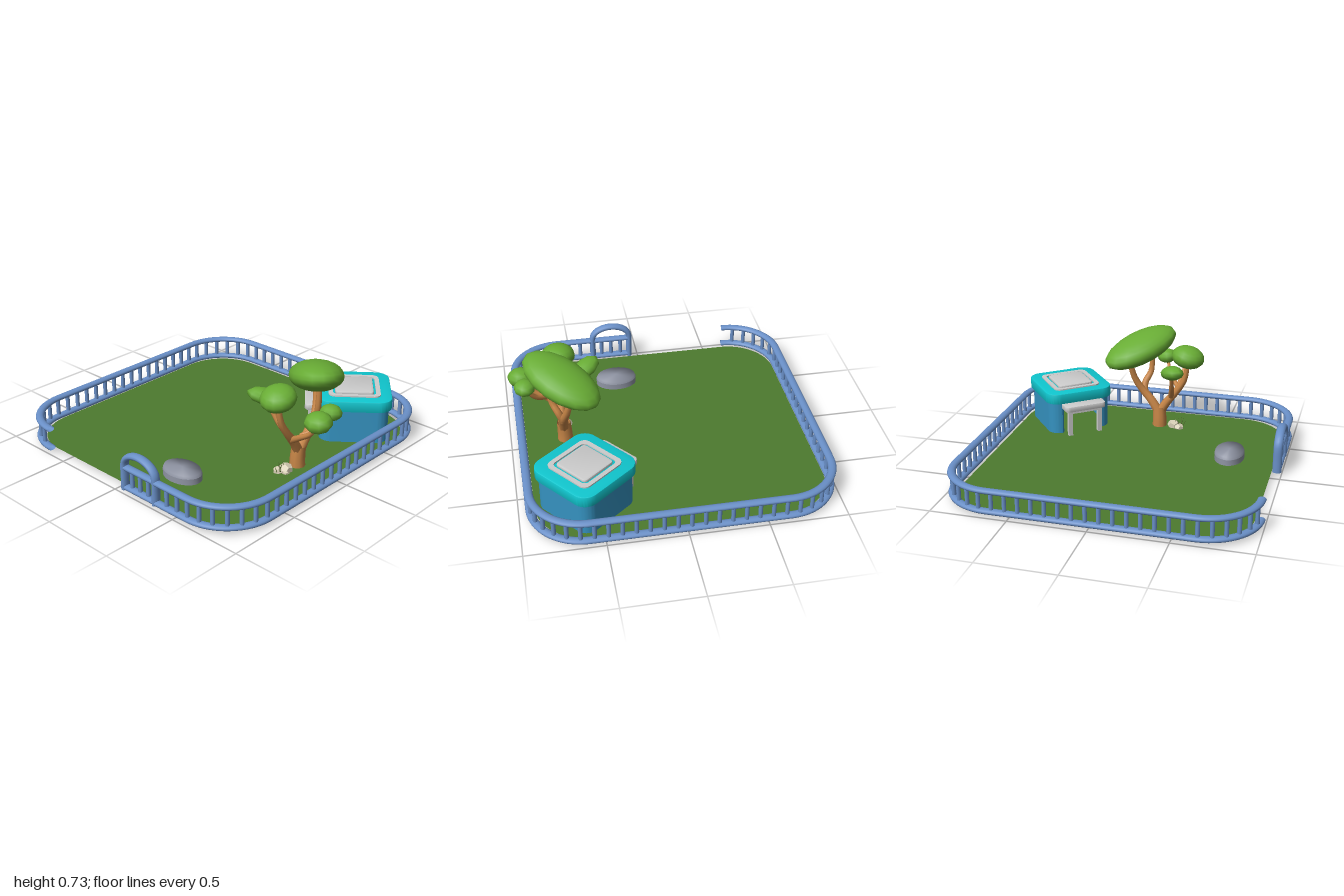
import * as THREE from 'three';
import { toCreasedNormals } from 'three/addons/utils/BufferGeometryUtils.js';

const paint = (color) => new THREE.MeshStandardMaterial({ color, roughness: 0.8, side: THREE.DoubleSide });
const V = (x, y, z) => new THREE.Vector3(x, y, z);

function add(parent, name, geometry, material, x = 0, y = 0, z = 0) {
  const mesh = new THREE.Mesh(geometry, material);
  mesh.name = name;
  mesh.position.set(x, y, z);
  parent.add(mesh);
  return mesh;
}

// Rounded rectangle between two corners
function roundedRect(x0, y0, x1, y1, r, Type = THREE.Shape) {
  const s = new Type();
  s.absarc(x1 - r, y0 + r, r, -Math.PI / 2, 0, false);
  s.absarc(x1 - r, y1 - r, r, 0, Math.PI / 2, false);
  s.absarc(x0 + r, y1 - r, r, Math.PI / 2, Math.PI, false);
  s.absarc(x0 + r, y0 + r, r, Math.PI, Math.PI * 1.5, false);
  s.closePath();
  return s;
}

// Upright prism standing on y = 0
function prism(shape, height, bevel = 0) {
  const g = new THREE.ExtrudeGeometry(shape, {
    depth: height - 2 * bevel, curveSegments: 8, bevelEnabled: bevel > 0,
    bevelSize: bevel, bevelOffset: -bevel, bevelThickness: bevel, bevelSegments: 2,
  });
  g.translate(0, 0, bevel).rotateX(-Math.PI / 2);
  return toCreasedNormals(g, 0.6);
}

// Tube that narrows from r0 to r1
function taperedTube(points, r0, r1, steps = 10, sides = 8) {
  const path = new THREE.CatmullRomCurve3(points);
  const g = new THREE.TubeGeometry(path, steps, 1, sides);
  const p = g.attributes.position, v = V(0, 0, 0);
  for (let i = 0; i < p.count; i++) {
    const t = Math.floor(i / (sides + 1)) / steps;
    const c = path.getPointAt(t);
    v.fromBufferAttribute(p, i).sub(c).multiplyScalar(r0 + (r1 - r0) * t).add(c);
    p.setXYZ(i, v.x, v.y, v.z);
  }
  return g;
}

function buildFence() {
  const fence = new THREE.Group();
  fence.name = 'fence';
  const blue = paint(0x6a90c8);
  const X = 0.973, zb = -0.973, zf = 0.93, r = 0.33, gate0 = 0.055, gate1 = 0.345;

  // Route starts and ends at the gate on the -x side
  const route = new THREE.Path();
  route.moveTo(-X, gate0);
  route.absarc(-X + r, zb + r, r, Math.PI, Math.PI * 1.5, false);
  route.absarc(X - r, zb + r, r, -Math.PI / 2, 0, false);
  route.absarc(X - r, zf - r, r, 0, Math.PI / 2, false);
  route.absarc(-X + r, zf - r, r, Math.PI / 2, Math.PI, false);
  route.lineTo(-X, gate1);
  const curve = new THREE.CatmullRomCurve3(route.getSpacedPoints(120).map((p) => V(p.x, 0, p.y)));
  const rail = new THREE.TubeGeometry(curve, 180, 0.027, 12).scale(1, 0.66, 1);
  add(fence, 'topRail', rail, blue, 0, 0.168, 0);
  add(fence, 'bottomRail', rail, blue, 0, 0.033, 0);

  const post = new THREE.CylinderGeometry(0.014, 0.014, 0.13, 8);
  const spots = route.getSpacedPoints(73).slice(1, -1);
  spots.forEach((p) => add(fence, 'baluster', post, blue, p.x, 0.1, p.y));

  // Gate: arch with its own short rails and balusters
  const gate = new THREE.Group();
  gate.name = 'gate';
  gate.position.set(-0.97, 0, 0.2);
  fence.add(gate);
  const arch = [V(0, 0.018, 0.135), V(0, 0.1, 0.135)];
  for (let i = 0; i <= 10; i++) {
    const a = (i / 10) * Math.PI;
    arch.push(V(0, 0.185 + 0.09 * Math.sin(a), 0.135 * Math.cos(a)));
  }
  arch.push(V(0, 0.1, -0.135), V(0, 0.018, -0.135));
  const archTube = new THREE.TubeGeometry(new THREE.CatmullRomCurve3(arch), 40, 0.021, 12);
  add(gate, 'gateArch', archTube.scale(1.42, 1, 1), blue);
  const bar = new THREE.CylinderGeometry(0.027, 0.027, 0.27, 12).rotateX(Math.PI / 2).scale(1, 0.66, 1);
  for (const y of [0.168, 0.033]) add(gate, 'gateRail', bar, blue, 0, y, 0);
  for (const z of [-0.07, 0, 0.07]) add(gate, 'gateBaluster', post, blue, 0, 0.1, z);
  return fence;
}

function buildKiosk() {
  const kiosk = new THREE.Group();
  kiosk.name = 'kiosk';
  kiosk.position.set(0.615, 0, 0.575);
  kiosk.rotation.y = THREE.MathUtils.degToRad(39);
  const grey = paint(0xcccccc), teal = paint(0x10c6ce), wallBlue = paint(0x3592c0);
  const square = (h, r, Type) => roundedRect(-h, -h, h, h, r, Type);

  // Walls leave the serving side open
  const h = 0.225, r = 0.08, t = 0.018, c = h - r, gap = 0.13, P = Math.PI;
  const wall = new THREE.Shape();
  wall.moveTo(gap, h);
  wall.absarc(c, c, r, P / 2, 0, true);
  wall.absarc(c, -c, r, 0, -P / 2, true);
  wall.absarc(-c, -c, r, -P / 2, -P, true);
  wall.absarc(-c, c, r, P, P / 2, true);
  wall.lineTo(-gap, h);
  wall.lineTo(-gap, h - t);
  wall.absarc(-c, c, r - t, P / 2, P, false);
  wall.absarc(-c, -c, r - t, -P, -P / 2, false);
  wall.absarc(c, -c, r - t, -P / 2, 0, false);
  wall.absarc(c, c, r - t, 0, P / 2, false);
  wall.lineTo(gap, h - t);
  add(kiosk, 'walls', prism(wall, 0.25), wallBlue);

  // Roof slab, raised rim and hatch
  add(kiosk, 'roof', prism(square(0.243, 0.09), 0.075, 0.006), teal, 0, 0.245, 0);
  const rim = square(0.17, 0.045);
  rim.holes.push(square(0.14, 0.03, THREE.Path));
  add(kiosk, 'roofRim', prism(rim, 0.012), grey, 0, 0.317, 0);
  add(kiosk, 'roofHatch', prism(square(0.126, 0.025), 0.025, 0.008), grey, 0, 0.312, 0);

  // Serving counter on legs
  const counter = roundedRect(-0.15, 0.19, 0.15, 0.322, 0.03);
  add(kiosk, 'counterTop', prism(counter, 0.038, 0.004), grey, 0, 0.206, 0);
  add(kiosk, 'counterApron', new THREE.BoxGeometry(0.25, 0.025, 0.08), grey, 0, 0.195, -0.255);
  for (const s of [-1, 1]) {
    add(kiosk, 'counterLeg', new THREE.BoxGeometry(0.03, 0.2, 0.03), grey, s * 0.11, 0.1, -0.28);
  }
  return kiosk;
}

function buildTree() {
  const tree = new THREE.Group();
  tree.name = 'tree';
  const bark = paint(0xc98748), leaf = paint(0x69ad35);
  add(tree, 'trunk', taperedTube([V(-0.04, 0, 0.64), V(-0.04, 0.07, 0.64), V(-0.035, 0.16, 0.645)], 0.052, 0.045, 8, 10), bark);

  // Each branch: points, start radius, end radius
  const branches = [
    [[V(-0.03, 0.12, 0.645), V(0.03, 0.21, 0.65), V(0.085, 0.27, 0.65), V(0.14, 0.36, 0.63), V(0.175, 0.5, 0.6)], 0.036, 0.018],
    [[V(0.075, 0.25, 0.65), V(0.08, 0.32, 0.68), V(0.045, 0.4, 0.72), V(0.04, 0.55, 0.73)], 0.027, 0.016],
    [[V(-0.04, 0.12, 0.645), V(-0.09, 0.2, 0.65), V(-0.16, 0.29, 0.65), V(-0.215, 0.38, 0.645), V(-0.24, 0.51, 0.64)], 0.034, 0.015],
    [[V(-0.12, 0.23, 0.65), V(-0.15, 0.29, 0.74), V(-0.165, 0.36, 0.84), V(-0.175, 0.43, 0.88)], 0.023, 0.013],
    [[V(-0.14, 0.3, 0.74), V(-0.08, 0.35, 0.81), V(-0.04, 0.44, 0.88)], 0.017, 0.011],
    [[V(-0.12, 0.24, 0.65), V(-0.14, 0.32, 0.57), V(-0.16, 0.46, 0.48)], 0.022, 0.012],
  ];
  for (const [points, r0, r1] of branches) add(tree, 'branch', taperedTube(points, r0, r1), bark);

  // Each crown: centre, radii, heading and tilt in degrees, sides
  const crowns = [
    [[0.105, 0.595, 0.65], [0.29, 0.097, 0.17], 47, -18, 16],
    [[-0.24, 0.555, 0.64], [0.117, 0.078, 0.112], 0, 12, 14],
    [[-0.173, 0.457, 0.895], [0.087, 0.062, 0.088], 0, 8, 9],
    [[-0.035, 0.468, 0.88], [0.07, 0.05, 0.07], 0, -8, 9],
    [[-0.165, 0.487, 0.47], [0.115, 0.05, 0.07], -50, -14, 9],
  ];
  for (const [at, size, heading, tilt, sides] of crowns) {
    const crown = add(tree, 'crown', new THREE.SphereGeometry(1, sides, Math.ceil(sides * 0.7)), leaf, ...at);
    crown.scale.set(...size);
    crown.rotation.set(0, THREE.MathUtils.degToRad(heading), THREE.MathUtils.degToRad(tilt), 'YZX');
  }
  return tree;
}

function buildStones() {
  const stones = new THREE.Group();
  stones.name = 'stones';
  // Flat oval stone
  const profile = [[0, 0], [0.9, 0], [1, 0.02], [1, 0.06], [0.94, 0.078], [0, 0.084]].map(([x, y]) => new THREE.Vector2(x, y));
  const oval = toCreasedNormals(new THREE.LatheGeometry(profile, 28), 0.7);
  add(stones, 'ovalStone', oval, paint(0x8f94a3), -0.63, 0, 0.21).scale.set(0.1, 1, 0.142);

  // Pale rocks with grass beside the trunk
  const pale = paint(0xd6cdb4), grass = paint(0x5f7a35);
  pale.flatShading = true;
  for (const [x, z, s, turn] of [[-0.145, 0.635, 0.045, 0.4], [-0.19, 0.61, 0.035, 1.3], [-0.17, 0.655, 0.026, 2.2]]) {
    const rock = add(stones, 'paleRock', new THREE.DodecahedronGeometry(s), pale, x, s * 0.75, z);
    rock.scale.y = 0.85;
    rock.rotation.y = turn;
  }
  for (let i = 0; i < 6; i++) {
    const blade = add(stones, 'grassBlade', new THREE.ConeGeometry(0.005, 0.085, 4).translate(0, 0.042, 0), grass, -0.205 + 0.012 * (i % 3), 0.015, 0.62 + 0.012 * (i % 2));
    blade.rotation.set(0.2 * Math.sin(i * 2), 0, 0.45 - i * 0.16);
  }
  return stones;
}

export function createModel() {
  const model = new THREE.Group();
  model.name = 'fencedGarden';
  const lawn = new THREE.ShapeGeometry(roundedRect(-0.937, -0.95, 0.937, 0.9, 0.32), 16).rotateX(Math.PI / 2).scale(1, -1, 1);
  lawn.index.array.reverse();
  lawn.computeVertexNormals();
  add(model, 'lawn', lawn, paint(0x4d7a2f), 0, 0.02, 0);
  model.add(buildFence(), buildKiosk(), buildTree(), buildStones());
  return model;
}
